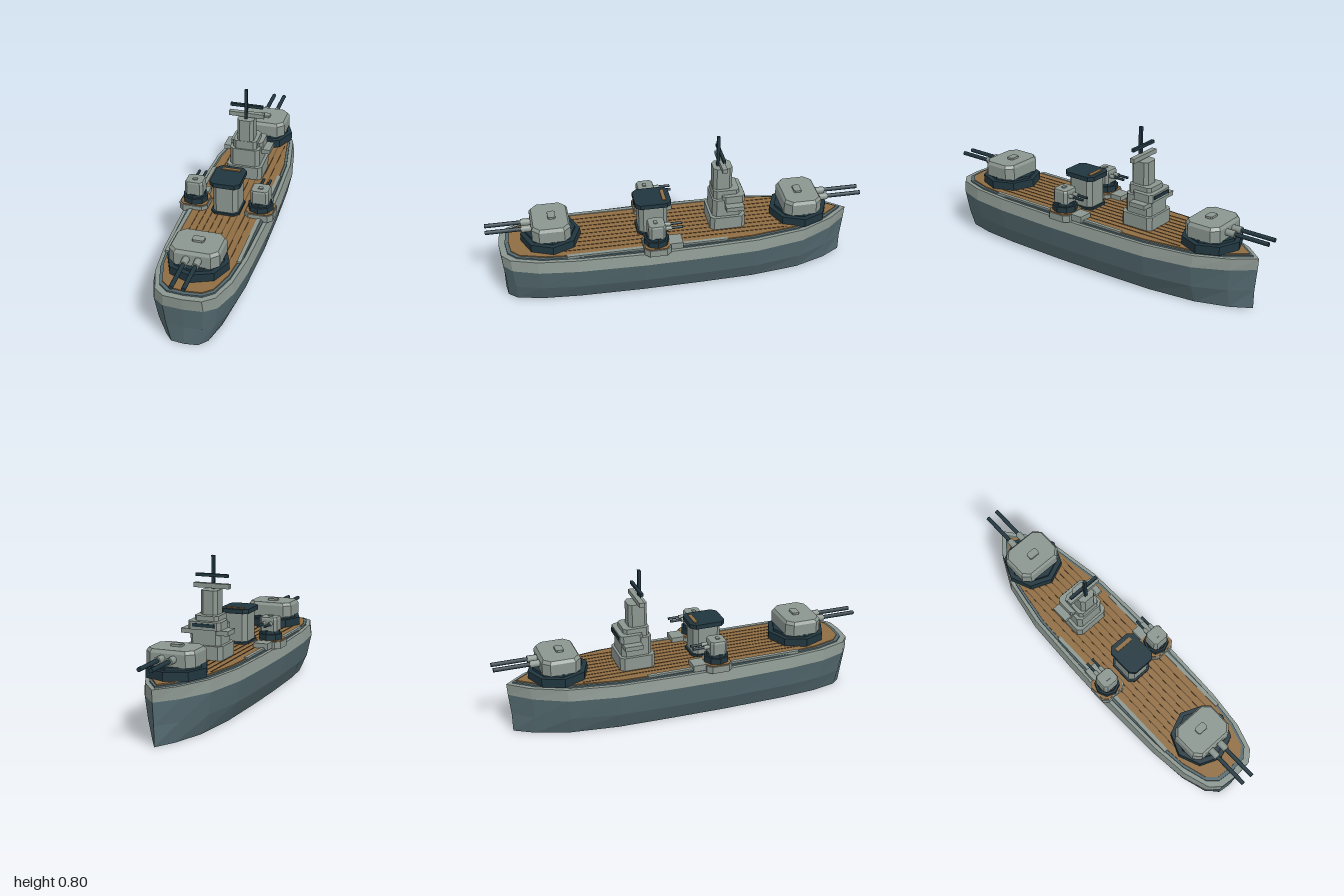
import * as THREE from 'three';

const mat = (name, color, side = THREE.FrontSide) => {
  const m = new THREE.MeshStandardMaterial({ color, side });
  m.name = name;
  return m;
};

// Flat-faced solid through scaled copies of a ring; levels are [y, scaleX, scaleZ]
function loft(ring, levels, top = true, bottom = false) {
  const pos = [];
  const n = ring.length;
  const at = ([y, sx, sz], i) => [ring[i % n][0] * sx, y, ring[i % n][1] * sz];
  const first = levels[0], last = levels[levels.length - 1];
  for (let i = 0; i < n; i++) {
    for (let k = 0; k + 1 < levels.length; k++) {
      const a0 = at(levels[k], i), b0 = at(levels[k], i + 1);
      const a1 = at(levels[k + 1], i), b1 = at(levels[k + 1], i + 1);
      pos.push(...a0, ...a1, ...b0, ...b0, ...a1, ...b1);
    }
    if (top) pos.push(0, last[0], 0, ...at(last, i + 1), ...at(last, i));
    if (bottom) pos.push(0, first[0], 0, ...at(first, i), ...at(first, i + 1));
  }
  const g = new THREE.BufferGeometry();
  g.setAttribute('position', new THREE.Float32BufferAttribute(pos, 3));
  g.computeVertexNormals();
  return g;
}

// Rectangle with cut corners
const cutRect = (w, d, c) => [
  [-w + c, -d], [w - c, -d], [w, -d + c], [w, d - c],
  [w - c, d], [-w + c, d], [-w, d - c], [-w, -d + c]];

// Regular ring with a corner on each axis
const polygon = (r, n = 8) => Array.from({ length: n }, (_, i) => {
  const a = (i / n) * Math.PI * 2;
  return [r * Math.sin(a), -r * Math.cos(a)];
});

const flat = (y0, y1) => [[y0, 1, 1], [y1, 1, 1]];

export function createModel() {
  const ship = new THREE.Group();
  ship.name = 'warship';
  const grey = mat('light grey', 0x8b9690, THREE.DoubleSide);
  const slate = mat('hull slate', 0x546a70, THREE.DoubleSide);
  const dark = mat('dark blue grey', 0x21363f);
  const wood = mat('deck wood', 0x8f6d42);
  const seam = mat('deck seam', 0x64492b);

  const add = (parent, name, geo, material, x = 0, y = 0, z = 0) => {
    const m = new THREE.Mesh(geo, material);
    m.name = name;
    m.position.set(x, y, z);
    parent.add(m);
    return m;
  };
  const box = (parent, name, material, w, h, d, x, y, z) =>
    add(parent, name, new THREE.BoxGeometry(w, h, d), material, x, y, z);
  const rod = (parent, name, material, r, z0, z1, x, y) => {
    const g = new THREE.CylinderGeometry(r, r, z1 - z0, 10).rotateX(Math.PI / 2);
    return add(parent, name, g, material, x, y, (z0 + z1) / 2);
  };

  // Hull: pointed bow at -z, blunt stern at +z, open underneath
  const half = [[0.09, -0.83], [0.175, -0.66], [0.222, -0.4], [0.233, -0.1], [0.237, 0.2],
    [0.226, 0.55], [0.203, 0.75], [0.157, 0.885], [0.1, 0.93]];
  const outline = [[0, -0.935], ...half, [0, 0.938],
    ...half.slice().reverse().map(([x, z]) => [-x, z])];
  add(ship, 'lowerHull', loft(outline, [[0, 0.67, 0.98], [0.1, 0.89, 0.982], [0.215, 1, 0.995]], false), slate);
  add(ship, 'upperHull', loft(outline, [[0.215, 1, 0.995], [0.276, 0.945, 1]]), grey);

  // Stepped deck edge and wooden deck
  add(ship, 'deckEdge', loft(outline, [[0.276, 0.865, 0.965], [0.284, 0.865, 0.965]]), slate);
  add(ship, 'deck', loft(outline, [[0.284, 0.81, 0.945], [0.29, 0.81, 0.945]]), wood);
  for (let i = -4; i <= 4; i++) {
    const reach = 0.78 - Math.abs(i) * 0.045;
    box(ship, 'deckSeam', seam, 0.005, 0.003, reach * 2, i * 0.034, 0.2905, 0.03);
  }
  for (const s of [-1, 1]) box(ship, 'sideWalkway', grey, 0.02, 0.012, 0.84, s * 0.183, 0.288, 0.18);

  // Main turrets, one at each end
  for (const s of [1, -1]) {
    const t = new THREE.Group();
    t.name = s > 0 ? 'sternTurret' : 'bowTurret';
    t.position.z = s * 0.665;
    if (s < 0) t.rotation.y = Math.PI;
    ship.add(t);
    add(t, 'turretBase', loft(polygon(0.156), flat(0.287, 0.333)), dark);
    add(t, 'turretRing', loft(polygon(0.13), flat(0.333, 0.347)), dark);
    add(t, 'turretHouse', loft(cutRect(0.126, 0.1, 0.035),
      [[0.345, 1, 1], [0.408, 1, 1], [0.424, 0.92, 0.9]], true, true), grey);
    add(t, 'turretHatch', loft(cutRect(0.03, 0.02, 0.007), flat(0.422, 0.435)), grey, 0, 0, -0.01);
    for (const x of [-0.03, 0.03]) {
      rod(t, 'gunSleeve', grey, 0.018, 0.08, 0.15, x, 0.383);
      rod(t, 'gunBarrel', dark, 0.011, 0.14, 0.335, x, 0.383);
    }
  }

  // Side turrets on sponsons, guns towards the bow
  for (const s of [1, -1]) {
    const t = new THREE.Group();
    t.name = s > 0 ? 'leftSideTurret' : 'rightSideTurret';
    t.position.set(s * 0.175, 0, 0.135);
    ship.add(t);
    add(t, 'sponson', loft(cutRect(0.075, 0.07, 0.025), flat(0.275, 0.312), true, true), grey);
    add(t, 'sponsonDeck', loft(cutRect(0.07, 0.065, 0.023), flat(0.312, 0.317)), wood);
    box(t, 'sponsonStep', grey, 0.08, 0.035, 0.09, -s * 0.005, 0.298, -0.09);
    add(t, 'turretBase', loft(polygon(0.066), flat(0.316, 0.348)), dark);
    add(t, 'turretRing', loft(polygon(0.055), flat(0.348, 0.366)), dark);
    add(t, 'turretHouse', loft(cutRect(0.048, 0.045, 0.014),
      [[0.364, 1, 1], [0.427, 1, 1], [0.436, 0.92, 0.92]], true, true), grey);
    box(t, 'turretHatch', grey, 0.024, 0.008, 0.018, 0, 0.438, 0.005);
    for (const x of [-0.018, 0.018]) {
      rod(t, 'gunSleeve', grey, 0.011, -0.075, -0.03, x, 0.405);
      rod(t, 'gunBarrel', dark, 0.007, -0.135, -0.06, x, 0.405);
    }
  }

  // Funnel
  const funnel = new THREE.Group();
  funnel.name = 'funnel';
  funnel.position.z = 0.13;
  ship.add(funnel);
  add(funnel, 'funnelFoot', loft(cutRect(0.075, 0.085, 0.025), flat(0.288, 0.302)), dark);
  add(funnel, 'funnelBody', loft(cutRect(0.066, 0.075, 0.022), flat(0.29, 0.457)), grey);
  add(funnel, 'funnelCap', loft(cutRect(0.08, 0.095, 0.025), flat(0.455, 0.479), true, true), dark);
  box(funnel, 'funnelTopStrip', wood, 0.098, 0.008, 0.02, 0, 0.48, -0.06);

  // Bridge tower, from the deck up
  const bridge = new THREE.Group();
  bridge.name = 'bridge';
  bridge.position.z = -0.262;
  ship.add(bridge);
  add(bridge, 'bridgeBase', loft(cutRect(0.098, 0.093, 0.02), flat(0.288, 0.362)), grey);
  add(bridge, 'bridgeMiddle', loft(cutRect(0.082, 0.08, 0.02), flat(0.36, 0.46)), grey);
  box(bridge, 'bridgeWings', grey, 0.256, 0.024, 0.095, 0, 0.428, -0.03);
  add(bridge, 'bridgeRoom', loft(cutRect(0.088, 0.06, 0.016), flat(0.44, 0.482), true, true), grey, 0, 0, -0.03);
  box(bridge, 'bridgeWindow', dark, 0.12, 0.018, 0.006, 0, 0.464, -0.091);
  add(bridge, 'bridgeTop', loft(cutRect(0.064, 0.068, 0.016), flat(0.46, 0.507)), grey, 0, 0, 0.004);
  add(bridge, 'tower', loft(cutRect(0.045, 0.05, 0.017), flat(0.5, 0.63)), grey, 0, 0, 0.02);

  // Mast and yards
  box(bridge, 'mast', dark, 0.016, 0.175, 0.016, 0, 0.7125, 0.04);
  box(bridge, 'lowerYard', grey, 0.192, 0.024, 0.026, 0, 0.648, 0.024);
  box(bridge, 'upperYard', dark, 0.176, 0.016, 0.016, 0, 0.7, 0.027);

  return ship;
}
